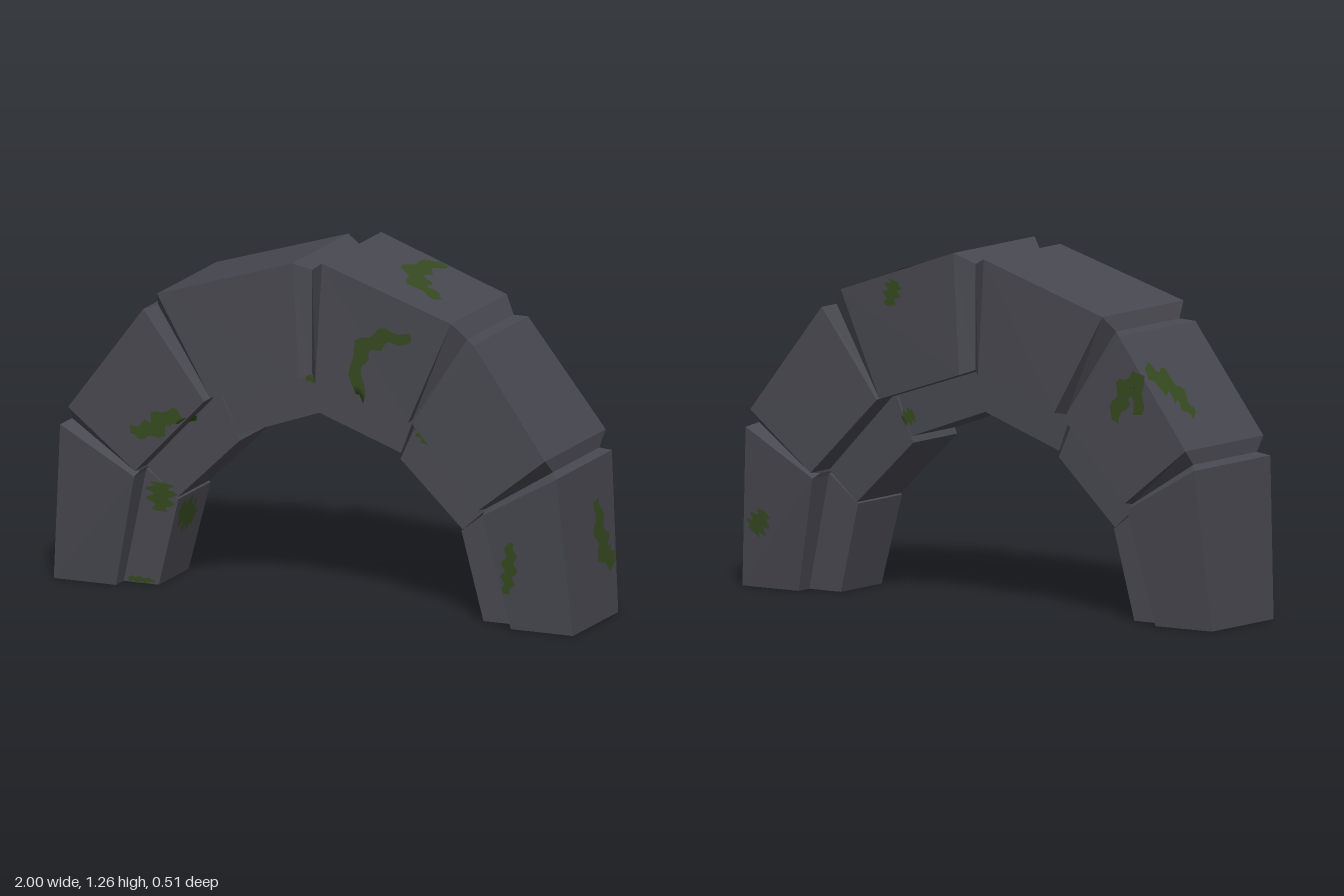
import * as THREE from 'three';

const stone = new THREE.MeshStandardMaterial({ color: 0x484850 });
stone.name = 'dark stone';
const moss = new THREE.MeshStandardMaterial({ color: 0x364a20, side: THREE.DoubleSide });
moss.name = 'moss green';

// Section across the arch: outer point, inner point, half depth
const section = ([ox, oy, ix, iy], z) => [[ox, oy, z], [ix, iy, z], [ix, iy, -z], [ox, oy, -z]];

// Flat-faced stone lofted through its sections; side is -1 for right, 1 for left
function makeStone(name, profile, depths, side) {
  const rings = profile.map(([ox, oy, ix, iy], i) => section([-side * ox, oy, -side * ix, iy], depths[i]));
  if (side > 0) rings.reverse();
  const pos = [];
  const quad = (a, b, c, d) => pos.push(...a, ...b, ...c, ...a, ...c, ...d);
  for (let k = 0; k < rings.length - 1; k++) {
    for (let j = 0; j < 4; j++) {
      const n = (j + 1) % 4;
      quad(rings[k][j], rings[k][n], rings[k + 1][n], rings[k + 1][j]);
    }
  }
  quad(...[...rings[0]].reverse());
  quad(...rings[rings.length - 1]);
  const geo = new THREE.BufferGeometry();
  geo.setAttribute('position', new THREE.Float32BufferAttribute(pos, 3));
  geo.computeVertexNormals();
  const mesh = new THREE.Mesh(geo, stone);
  mesh.name = name;
  return mesh;
}

// Rays that lay moss onto the stones from one side
const rays = {
  front: [(u, v) => [u, v, 5], [0, 0, -1]],
  back: [(u, v) => [u, v, -5], [0, 0, 1]],
  top: [(u, v) => [u, 5, v], [0, -1, 0]],
  left: [(u, v) => [5, v, u], [-1, 0, 0]],
  soffit: [(u, v) => [0, v, u], [-1, 0, 0]],
};

// Ragged ribbon of moss along a short path, pressed onto the stones
function makeMoss(name, stones, side, width, path) {
  const curve = new THREE.CatmullRomCurve3(path.map(([u, v]) => new THREE.Vector3(u, v, 0)));
  const steps = 16;
  const geo = new THREE.PlaneGeometry(1, 1, steps, 2);
  const pos = geo.attributes.position;
  const [from, dir] = rays[side];
  const d = new THREE.Vector3(...dir);
  const caster = new THREE.Raycaster();
  let depth = 5;
  for (let i = 0; i < pos.count; i++) {
    const t = pos.getX(i) + 0.5, across = pos.getY(i) * 2;
    const p = curve.getPoint(t), tan = curve.getTangent(t);
    const ragged = 0.85 + 0.35 * Math.sin(t * 23 + across * 2 + path[0][0] * 9);
    const w = across * width * ragged * (0.45 + 0.55 * Math.sin(Math.PI * t));
    const o = new THREE.Vector3(...from(p.x - tan.y * w, p.y + tan.x * w));
    caster.set(o, d);
    const hit = caster.intersectObjects(stones)[0];
    if (hit) depth = hit.distance;
    o.addScaledVector(d, depth - 0.005);
    pos.setXYZ(i, o.x, o.y, o.z);
  }
  geo.computeVertexNormals();
  const mesh = new THREE.Mesh(geo, moss);
  mesh.name = name;
  return mesh;
}

export function createModel() {
  const group = new THREE.Group();
  group.name = 'stoneArch';

  // Narrow sections where neighbouring blocks meet
  const low = [-0.925, 0.585, -0.665, 0.425];
  const high = [-0.595, 1.03, -0.385, 0.72];
  const crown = [0, 1.22, 0, 0.845];

  for (const [side, prefix] of [[-1, 'right'], [1, 'left']]) {
    const add = (name, profile, depths) => group.add(makeStone(prefix + name, profile, depths, side));
    const isLeft = side > 0;

    // Outer ring of bevelled blocks, flared a little differently on each side
    add('BaseBlock', [[-1, 0, -0.76, 0], [-0.955, 0.57, -0.67, 0.41], low], [0.19, 0.235, 0.195]);
    add('ShoulderBlock', [low, [-0.922, 0.637, -0.665, 0.433], [-0.635, 1.02, -0.4, 0.71], high],
      isLeft ? [0.195, 0.255, 0.23, 0.195] : [0.195, 0.24, 0.235, 0.195]);
    add('CrownBlock', [high, isLeft ? [-0.55, 1.09, -0.385, 0.715] : [-0.575, 1.085, -0.37, 0.73],
      [-0.06, isLeft ? 1.26 : 1.245, -0.035, 0.83], crown],
      isLeft ? [0.195, 0.235, 0.25, 0.2] : [0.195, 0.25, 0.235, 0.2]);

    // Slimmer lining stones beneath them
    add('BaseLining', [[-0.77, 0, -0.625, 0], [-0.67, 0.42, -0.545, 0.32]], [0.125, 0.135]);
    add('ShoulderLining', [[-0.68, 0.44, -0.55, 0.325], [-0.39, 0.73, -0.31, 0.555]], [0.135, 0.135]);
    add('CrownLining', [[-0.38, 0.75, -0.315, 0.578], [0, 0.87, 0, 0.69]], [0.14, 0.14]);
  }

  // Moss patches
  group.updateMatrixWorld(true);
  const stones = [...group.children];
  const grow = (name, ...spec) => group.add(makeMoss(name, stones, ...spec));
  grow('crownFrontMoss', 'front', 0.036, [[0.205, 0.77], [0.2, 0.94], [0.28, 1.01], [0.4, 1.02]]);
  grow('shoulderFrontMoss', 'front', 0.04, [[-0.68, 0.58], [-0.6, 0.59], [-0.54, 0.64], [-0.47, 0.63]]);
  grow('liningFrontMoss', 'front', 0.055, [[-0.61, 0.375], [-0.61, 0.27]]);
  grow('baseFrontMoss', 'front', 0.028, [[0.775, 0.32], [0.765, 0.22], [0.75, 0.13]]);
  grow('smallLiningMoss', 'front', 0.03, [[0.385, 0.69], [0.42, 0.62]]);
  grow('crownLiningMoss', 'front', 0.015, [[-0.05, 0.812], [0.05, 0.812]]);
  grow('baseToeMoss', 'front', 0.012, [[-0.74, 0.013], [-0.64, 0.013]]);
  grow('baseOuterMoss', 'left', 0.055, [[-0.07, 0.43], [-0.085, 0.31], [-0.12, 0.22], [-0.19, 0.195]]);
  grow('crownTopMoss', 'top', 0.05, [[0.31, -0.225], [0.28, -0.08], [0.34, 0.04], [0.44, 0.09]]);
  grow('shoulderTopMoss', 'top', 0.045, [[-0.85, -0.08], [-0.78, -0.11], [-0.73, -0.205]]);
  grow('shoulderBackMoss', 'back', 0.045, [[-0.62, 0.72], [-0.66, 0.82], [-0.71, 0.86], [-0.72, 0.75]]);
  grow('crownBackMoss', 'back', 0.035, [[0.31, 1.14], [0.34, 1.05]]);
  grow('baseBackMoss', 'back', 0.045, [[0.94, 0.2], [0.88, 0.27]]);
  grow('liningBackMoss', 'back', 0.03, [[0.3, 0.66], [0.35, 0.63]]);
  grow('soffitMoss', 'soffit', 0.06, [[0.11, 0.27], [0.02, 0.24], [-0.04, 0.21]]);

  return group;
}
